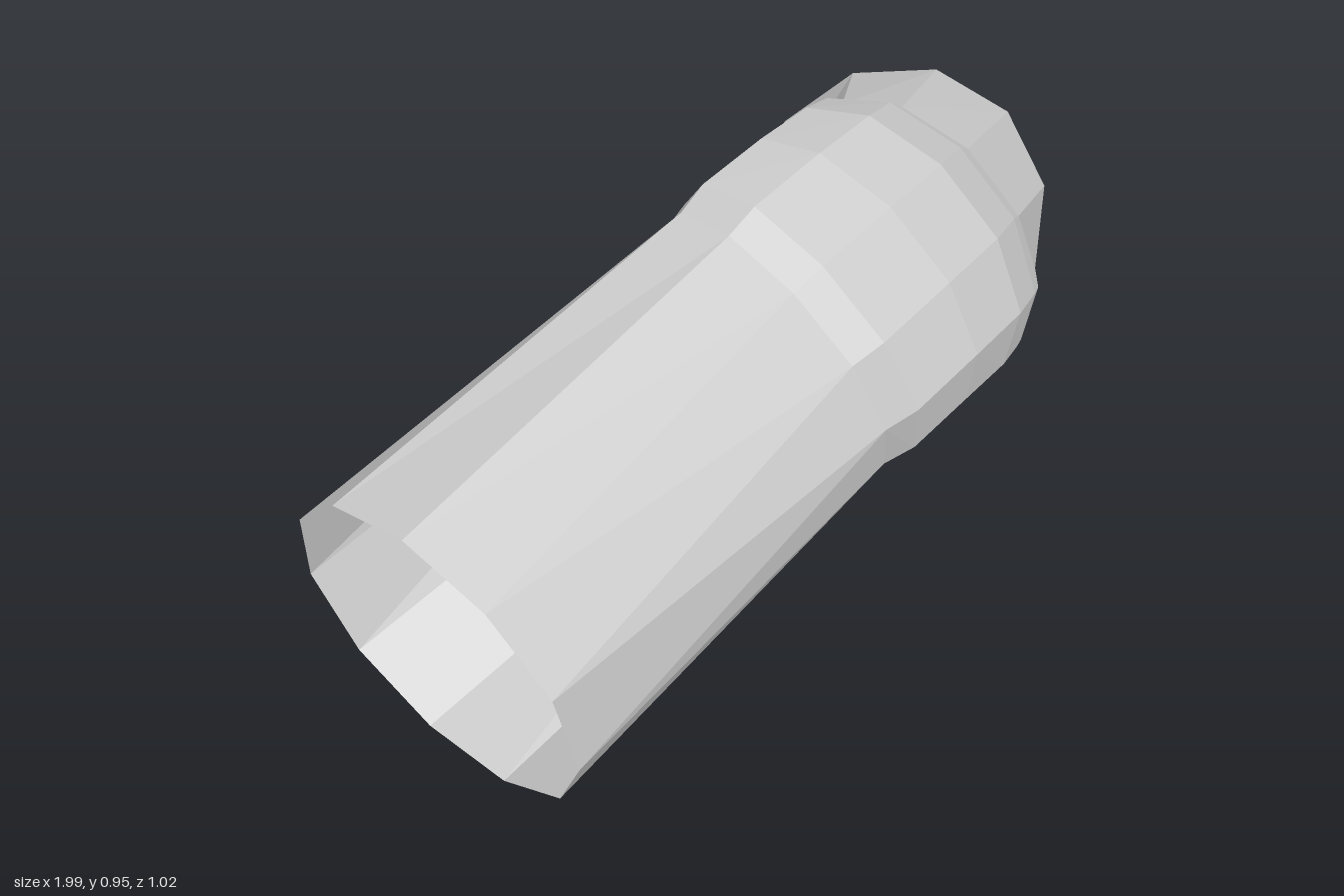
import * as THREE from 'three';

const SIDES = 11;

// Directions of the two straight arms and the axis the pipe bends about
const armA = new THREE.Vector3(0.966, 0.26, 0).normalize();
const armB = new THREE.Vector3(0.62, -0.47, -0.63).normalize();
const bendAxis = new THREE.Vector3().crossVectors(armA, armB).normalize();

// Cross-sections: centre, progress through the bend, half width, half depth, phase in degrees
const sections = [
  { c: [-0.925, 0.5, 0.235], t: 0, a: 0.29, b: 0.29, phase: 18 },
  { c: [-0.2, 0.71, 0.26], t: 0, a: 0.262, b: 0.155, phase: 12 },
  { c: [-0.145, 0.727, 0.265], t: 0.05, a: 0.275, b: 0.16, phase: 12 },
  { c: [0, 0.735, 0.25], t: 0.3, a: 0.275, b: 0.16, phase: 12 },
  { c: [0.145, 0.71, 0.213], t: 0.55, a: 0.275, b: 0.16, phase: 12 },
  { c: [0.29, 0.63, 0.13], t: 0.8, a: 0.275, b: 0.16, phase: 12 },
  { c: [0.435, 0.52, 0.035], t: 1, a: 0.27, b: 0.16, phase: 12 },
  { c: [0.77, 0.257, -0.29], t: 1, a: 0.29, b: 0.29, phase: 21 },
];

function sectionPoints({ c, t, a, b, phase }) {
  const tangent = armA.clone().lerp(armB, t).normalize();
  const outward = new THREE.Vector3().crossVectors(tangent, bendAxis);
  return Array.from({ length: SIDES }, (_, j) => {
    const angle = THREE.MathUtils.degToRad(phase) + (j / SIDES) * Math.PI * 2;
    return new THREE.Vector3(...c)
      .addScaledVector(bendAxis, a * Math.cos(angle))
      .addScaledVector(outward, b * Math.sin(angle));
  });
}

// Open skin stretched over the cross-sections
function loft(rings) {
  const positions = rings.flat().flatMap((p) => p.toArray());
  const index = [];
  for (let i = 0; i < rings.length - 1; i++) {
    for (let j = 0; j < SIDES; j++) {
      const k = (j + 1) % SIDES;
      const p = i * SIDES + j, q = i * SIDES + k;
      index.push(p, q, q + SIDES, p, q + SIDES, p + SIDES);
    }
  }
  const geometry = new THREE.BufferGeometry();
  geometry.setAttribute('position', new THREE.Float32BufferAttribute(positions, 3));
  geometry.setIndex(index);
  geometry.computeVertexNormals();
  return geometry;
}

export function createModel() {
  const group = new THREE.Group();
  group.name = 'bentPipe';
  const material = new THREE.MeshStandardMaterial({
    color: 0xcccccc, flatShading: true, side: THREE.DoubleSide,
  });
  // Round open ends, squashed through the elbow
  const pipe = new THREE.Mesh(loft(sections.map(sectionPoints)), material);
  pipe.name = 'pipeSkin';
  group.add(pipe);
  return group;
}
